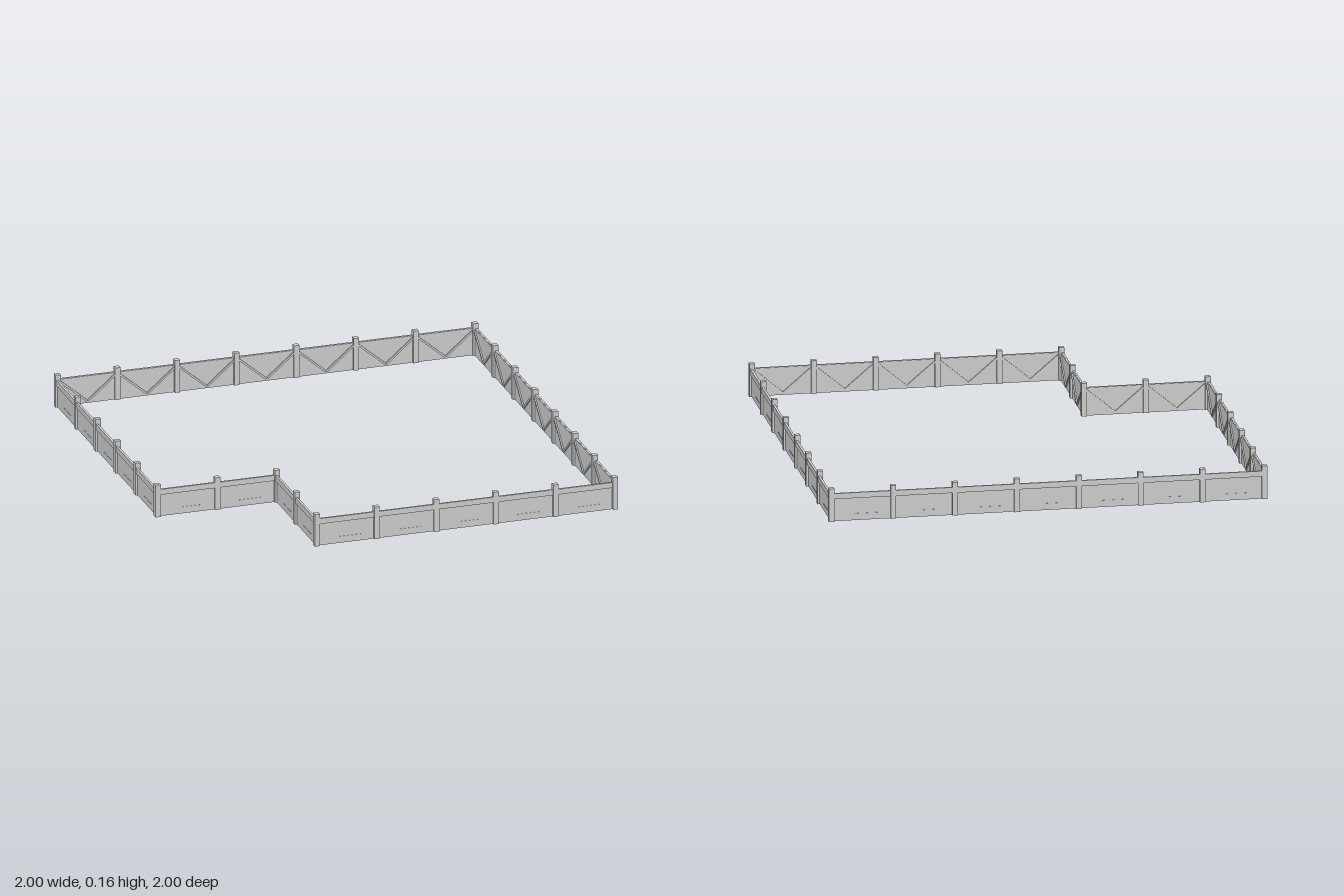
import * as THREE from 'three';

const material = new THREE.MeshStandardMaterial({ color: 0xcccccc, flatShading: true });
const STEP = 0.282; // distance between posts
const POST = 0.025;

function box(name, w, h, d, x, y, z, parent) {
  const mesh = new THREE.Mesh(new THREE.BoxGeometry(w, h, d), material);
  mesh.name = name;
  mesh.position.set(x, y, z);
  parent.add(mesh);
  return mesh;
}

// One fence bay: local x runs along the fence, local +z points outwards
function createBay() {
  const bay = new THREE.Group();
  bay.name = 'fenceBay';
  box('panel', STEP, 0.13, 0.005, 0, 0.065, 0, bay);
  box('topRail', STEP, 0.026, 0.008, 0, 0.118, 0.0055, bay);
  box('lowerSlat', 0.104, 0.003, 0.002, 0.018, 0.03, 0.003, bay);

  // V-shaped braces on the inner side
  const run = STEP / 2 - 0.014, rise = 0.108;
  for (const side of [-1, 1]) {
    const brace = box('brace', Math.hypot(run, rise), 0.009, 0.006,
      side * (run / 2 + 0.002), 0.065, -0.0055, bay);
    brace.rotation.z = side * Math.atan2(rise, run);
  }
  return bay;
}

export function createModel() {
  const model = new THREE.Group();
  model.name = 'perimeterFence';

  // Outline corners [x, z], walked with the outside on the right
  const a = 3.5 * STEP, b = 1.5 * STEP;
  const corners = [[-a, b], [-b, b], [-b, a], [a, a], [a, -a], [-a, -a]];

  corners.forEach(([x0, z0], i) => {
    const [x1, z1] = corners[(i + 1) % corners.length];
    const dx = x1 - x0, dz = z1 - z0;
    const count = Math.round(Math.hypot(dx, dz) / STEP);
    for (let k = 0; k < count; k++) {
      const t = k / count, m = (k + 0.5) / count;
      box('post', POST, 0.155, POST, x0 + dx * t, 0.0775, z0 + dz * t, model);
      const bay = createBay();
      bay.position.set(x0 + dx * m, 0, z0 + dz * m);
      bay.rotation.y = Math.atan2(-dz, dx);
      model.add(bay);
    }
  });
  return model;
}
